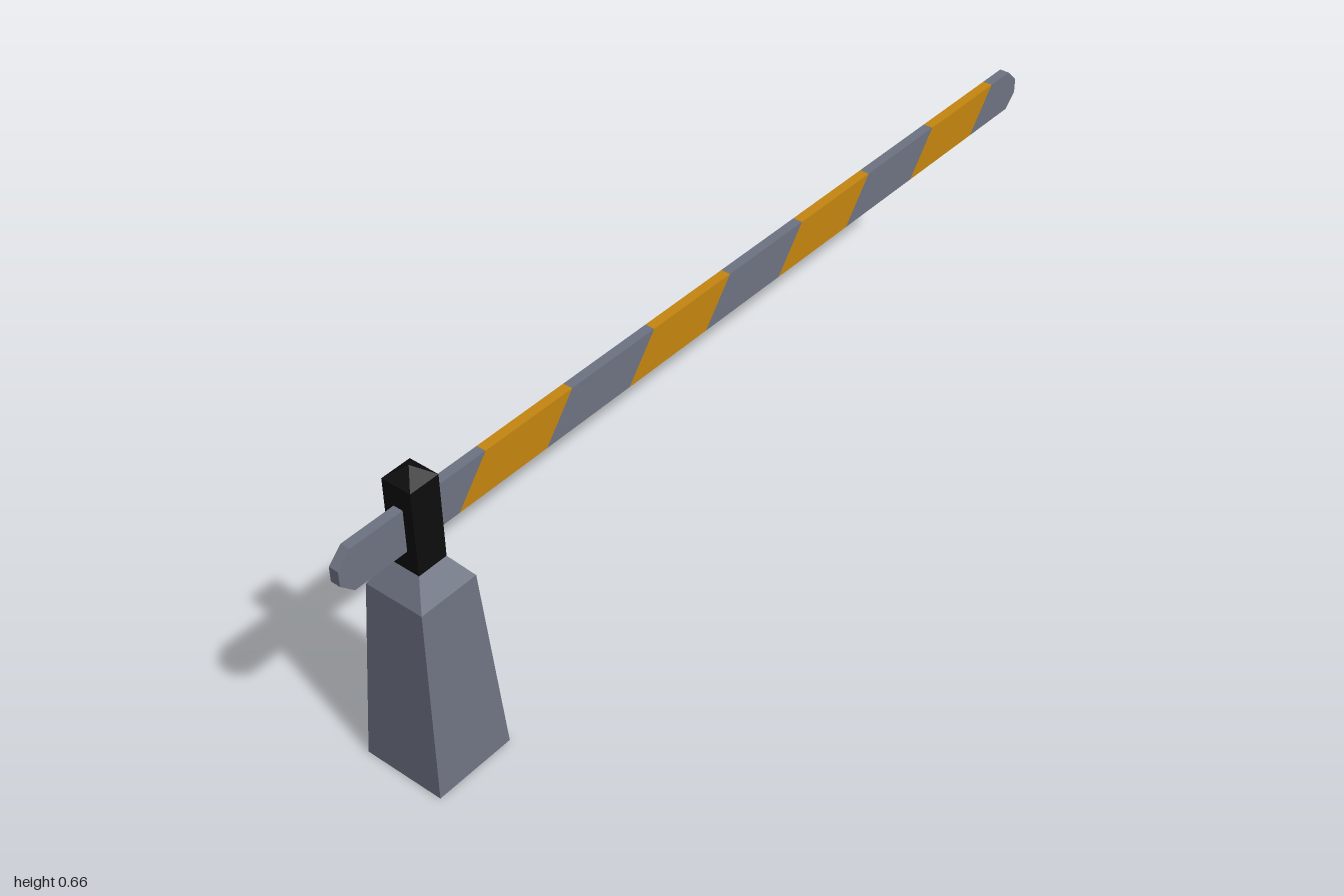
import * as THREE from 'three';

const grey = new THREE.MeshStandardMaterial({ color: 0x6e7382 });
grey.name = 'concrete grey';
const orange = new THREE.MeshStandardMaterial({ color: 0xc58610 });
orange.name = 'stripe orange';
const black = new THREE.MeshStandardMaterial({ color: 0x0d0d0d });
black.name = 'post black';

const POST_X = -0.817;
const BOTTOM = 0.501, TOP = 0.591, HALF_DEPTH = 0.0105;

function addMesh(group, name, geometry, material) {
  const mesh = new THREE.Mesh(geometry, material);
  mesh.name = name;
  group.add(mesh);
  return mesh;
}

// Square frustum given by its half widths at two heights
function frustum(y0, half0, y1, half1, open = true) {
  const r = Math.SQRT2;
  const indexed = new THREE.CylinderGeometry(half1 * r, half0 * r, y1 - y0, 4, 1, open);
  const geometry = indexed.toNonIndexed();
  geometry.rotateY(Math.PI / 4);
  geometry.translate(POST_X, (y0 + y1) / 2, 0);
  geometry.computeVertexNormals();
  return geometry;
}

// Flat slice of the boom, extruded through its thickness
function slice(points) {
  const shape = new THREE.Shape(points.map(([x, y]) => new THREE.Vector2(x, y)));
  const geometry = new THREE.ExtrudeGeometry(shape, { depth: 2 * HALF_DEPTH, bevelEnabled: false });
  geometry.translate(0, 0, -HALF_DEPTH);
  return geometry;
}

export function createModel() {
  const model = new THREE.Group();
  model.name = 'barrier';

  // Tapered pedestal with a sloped shoulder
  const pedestal = new THREE.Group();
  pedestal.name = 'pedestal';
  addMesh(pedestal, 'pedestalBody', frustum(0, 0.09, 0.409, 0.066, false), grey);
  addMesh(pedestal, 'pedestalShoulder', frustum(0.409, 0.066, 0.458, 0.033), grey);
  model.add(pedestal);

  // Post with a pyramid cap
  const post = new THREE.Group();
  post.name = 'post';
  addMesh(post, 'postShaft', frustum(0.458, 0.033, 0.638, 0.033), black);
  addMesh(post, 'postCap', frustum(0.638, 0.033, 0.662, 0), black);
  model.add(post);

  // Boom: slanted slices of alternating colour, with chamfered ends
  const boom = new THREE.Group();
  boom.name = 'boom';
  const slant = 0.072, pitch = 0.445, stripe = 0.221, firstStripe = -0.724;
  const cuts = [];
  for (let i = 0; i < 4; i++) {
    const x = firstStripe + i * pitch;
    cuts.push(x, x + stripe);
  }
  const endPoints = (side) => [
    [side * 0.97, BOTTOM], [side, 0.53], [side, 0.562], [side * 0.97, TOP],
  ];
  for (let i = 0; i <= cuts.length; i++) {
    const left = i === 0
      ? endPoints(-1).reverse()
      : [[cuts[i - 1] + slant, TOP], [cuts[i - 1], BOTTOM]];
    const right = i === cuts.length
      ? endPoints(1)
      : [[cuts[i], BOTTOM], [cuts[i] + slant, TOP]];
    const isStripe = i % 2 === 1;
    addMesh(boom, isStripe ? 'boomStripe' : 'boomSection', slice([...left, ...right]), isStripe ? orange : grey);
  }
  model.add(boom);

  return model;
}
